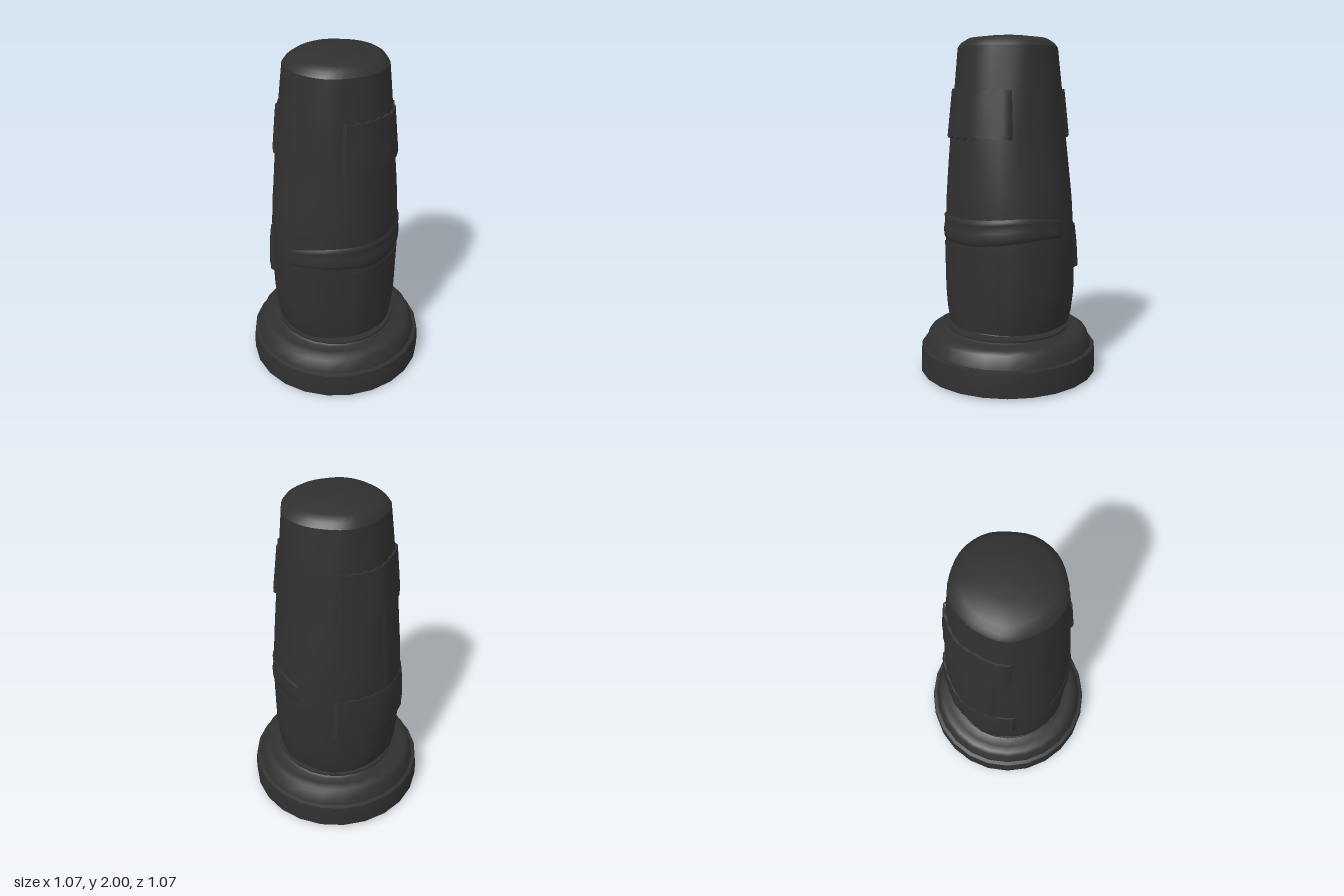
import * as THREE from 'three';
import { mergeVertices, toCreasedNormals } from 'three/addons/utils/BufferGeometryUtils.js';

const lerpTable = (t, y, k) => {
  if (y <= t[0][0]) return t[0][k];
  for (let i = 1; i < t.length; i++) {
    if (y <= t[i][0]) {
      const f = (y - t[i - 1][0]) / (t[i][0] - t[i - 1][0]);
      return THREE.MathUtils.lerp(t[i - 1][k], t[i][k], f);
    }
  }
  return t[t.length - 1][k];
};

// Sleeve cross-sections: height, half width, half depth, x offset
const SECTIONS = [
  [0.31, 0.352, 0.362, -0.008], [0.36, 0.362, 0.375, -0.01], [0.5, 0.369, 0.393, -0.012],
  [0.8, 0.374, 0.395, -0.012], [1.07, 0.365, 0.38, -0.01], [1.4, 0.342, 0.342, -0.005],
  [1.69, 0.313, 0.318, 0], [1.93, 0.288, 0.294, 0.004],
];

// Soft cloth folds
const fold = (a, y) => 0.004 * Math.sin(5 * a + 3 * y) + 0.003 * Math.sin(9 * a - 4 * y + 1) * Math.sin(3 * y);

// Point on the sleeve at angle a (0 = front, 90 degrees = +x), pushed out by d
function onSleeve(a, y, d = 0) {
  const e = d + fold(a, y);
  return [
    lerpTable(SECTIONS, y, 3) + Math.sin(a) * (lerpTable(SECTIONS, y, 1) + e), y,
    Math.cos(a) * (lerpTable(SECTIONS, y, 2) + e),
  ];
}

// Grid surface: rows go upwards, columns go round from the front to +x
function grid(rows, cols, point, crease = 0.6) {
  const pos = [], index = [];
  for (let i = 0; i <= rows; i++) for (let j = 0; j <= cols; j++) pos.push(...point(i, j));
  for (let i = 0; i < rows; i++) {
    for (let j = 0; j < cols; j++) {
      const a = i * (cols + 1) + j, d = a + cols + 1;
      index.push(a, a + 1, d + 1, a, d + 1, d);
    }
  }
  const g = new THREE.BufferGeometry();
  g.setAttribute('position', new THREE.Float32BufferAttribute(pos, 3));
  g.setIndex(index);
  return toCreasedNormals(mergeVertices(g, 1e-5), crease);
}

export function createModel() {
  const group = new THREE.Group();
  const rubber = new THREE.MeshStandardMaterial({ color: 0x303030, side: THREE.DoubleSide });
  rubber.name = 'charcoal';
  const add = (name, geometry) => {
    const m = new THREE.Mesh(geometry, rubber);
    m.name = name;
    group.add(m);
  };
  const deg = Math.PI / 180;

  // Round foot with a sloping shoulder and a collar
  const foot = [
    [0, 0.02], [0.3, 0.015], [0.5, 0], [0.535, 0.015], [0.535, 0.1], [0.528, 0.16], [0.505, 0.165],
    [0.482, 0.24], [0.46, 0.258], [0.42, 0.263], [0.375, 0.262], [0.362, 0.27],
    [0.362, 0.282], [0.3, 0.288], [0.29, 0.312],
  ];
  add('foot', grid(foot.length - 1, 24, (i, j) => {
    const a = (j % 24) / 24 * Math.PI * 2, [r, y] = foot[i];
    return [Math.sin(a) * r, y, Math.cos(a) * r];
  }, 0.7));

  // Cloth sleeve, slightly oval and wrinkled
  const ROWS = 26, COLS = 40;
  add('sleeve', grid(ROWS, COLS, (i, j) => {
    const a = (j % COLS) / COLS * Math.PI * 2;
    return onSleeve(a, 0.31 + 1.62 * i / ROWS);
  }, 1));

  // Hem turned in under the sleeve
  add('hem', grid(1, COLS, (i, j) => {
    const a = (j % COLS) / COLS * Math.PI * 2;
    return i ? onSleeve(a, 0.31) : [Math.sin(a) * 0.28, 0.297, Math.cos(a) * 0.28];
  }));

  // Domed cap
  const dome = [[1, 1.93], [0.93, 1.957], [0.8, 1.98], [0.4, 1.995], [0, 2]];
  add('cap', grid(dome.length - 1, COLS, (i, j) => {
    const a = (j % COLS) / COLS * Math.PI * 2, [s, y] = dome[i];
    const p = onSleeve(a, 1.93);
    return [p[0] * s, y, p[2] * s];
  }, 0.8));

  // Sewn panel: lies flush at its top and stands off at its lower edge
  function panel(name, from, to, y0, y1, topLift, lowLift, wave) {
    const rows = 8, cols = Math.max(4, Math.round((to - from) / 6));
    add(name, grid(rows, cols, (i, j) => {
      const a = (from + (to - from) * j / cols) * deg;
      const t = Math.max(0, (i - 1) / (rows - 2));
      const edge = i === 0 || i === rows || j === 0 || j === cols;
      const zig = wave * (j % 2 ? 1 : -1);
      const y = y0 + (y1 - y0) * Math.min(1, t) + zig * (i < 2 || i >= rows - 1 ? 1 : 0);
      return onSleeve(a, y, edge ? -0.012 : lowLift + (topLift - lowLift) * t + zig * 0.4);
    }, 0.7));
  }
  panel('leftUpperPatch', 40, 142, 1.42, 1.69, 0.012, 0.016, 0.006);
  panel('rightUpperPatch', 218, 322, 1.42, 1.69, 0.012, 0.016, 0.006);
  panel('rightLowerPatch', 215, 325, 0.64, 0.9, 0.008, 0.022, 0.006);
  panel('rightSeamStrip', 262, 308, 0.9, 1.42, 0.006, 0.006, 0.002);
  panel('leftLowerPanel', 48, 130, 0.32, 0.8, 0.004, 0.004, 0);

  // Folded sash running round the left side, rising toward the back
  add('sash', grid(8, 36, (i, j) => {
    const u = j / 36, t = i / 8;
    const a = (-8 + 196 * u) * deg;
    const taper = Math.sin(Math.PI * Math.min(1, Math.max(0, u * 0.9 + 0.05)));
    const y = 0.8 + 0.015 * Math.sin(u * 9) + t * (0.11 + 0.06 * taper) + 0.04 * u;
    const edge = i === 0 || i === 8 || j === 0 || j === 36;
    return onSleeve(a, y, edge ? -0.01 : 0.004 + 0.009 * taper * Math.abs(Math.sin(Math.PI * t * 1.5)));
  }, 1));

  return group;
}
